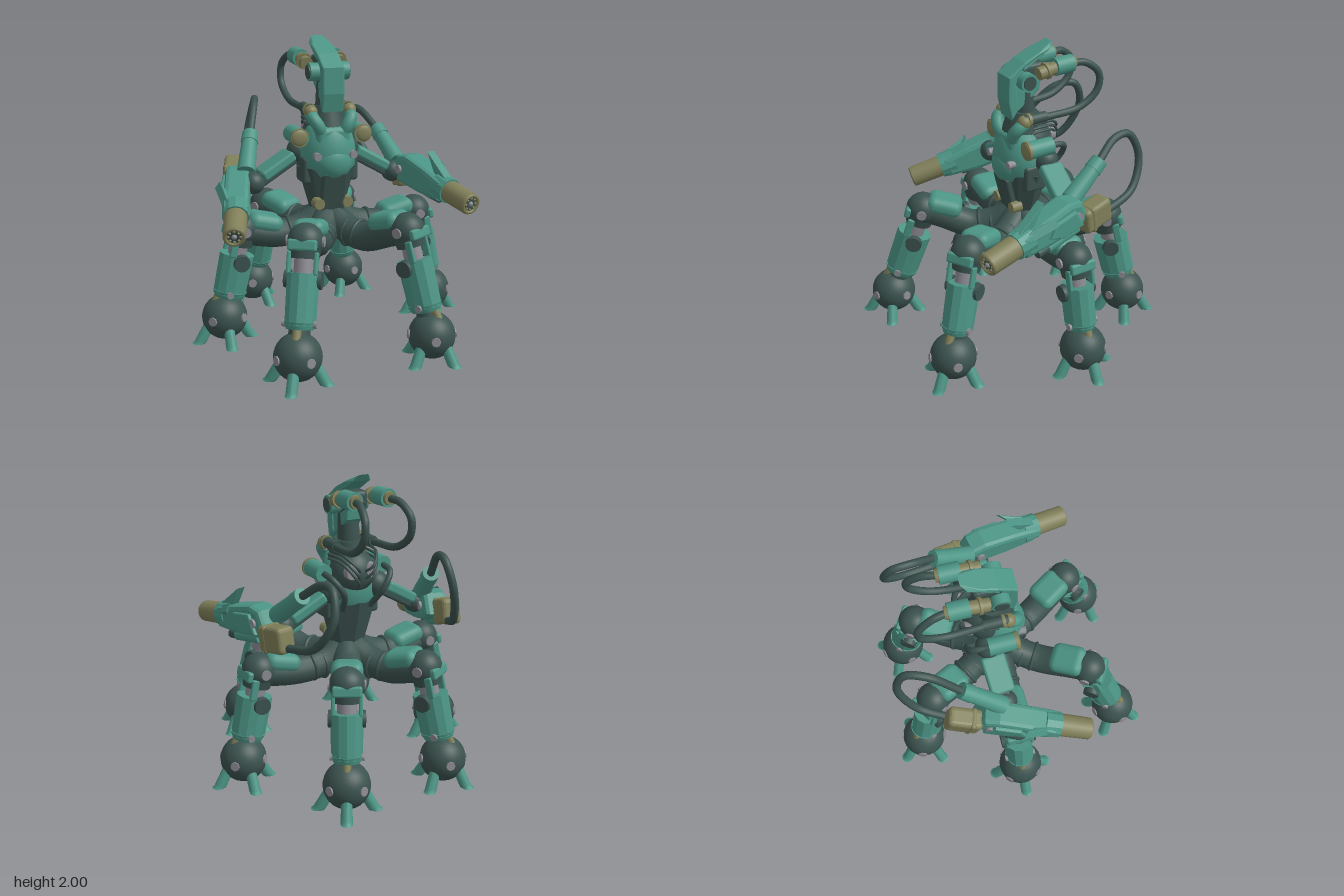
import * as THREE from 'three';
import { RoundedBoxGeometry } from 'three/addons/geometries/RoundedBoxGeometry.js';

const paint = (color, extra = {}) => new THREE.MeshStandardMaterial({ color, ...extra });
const TEAL = paint(0x4c9586), DARK = paint(0x3b524e), KHAKI = paint(0x807f59), GREY = paint(0x8c8a92);
const TEALFLAT = paint(0x4c9586, { flatShading: true }), DARKFLAT = paint(0x3b524e, { flatShading: true });
const KHAKIFLAT = paint(0x807f59, { flatShading: true });
const V = (a) => new THREE.Vector3(...a);

function add(parent, name, geo, mat, pos = [0, 0, 0]) {
  const m = new THREE.Mesh(geo, mat);
  m.name = name;
  m.position.set(...pos);
  parent.add(m);
  return m;
}
const ball = (p, name, pos, r, mat) => add(p, name, new THREE.SphereGeometry(r, 28, 20), mat, pos);
const box = (p, name, size, pos, mat, r = 0.015) =>
  add(p, name, new RoundedBoxGeometry(...size, 2, r), mat, pos);

// Cylinder or cone between two points
function rod(p, name, a, b, r1, r2, mat, seg = 24) {
  const A = V(a), B = V(b), d = B.clone().sub(A);
  const m = add(p, name, new THREE.CylinderGeometry(r2, r1, d.length(), seg), mat);
  m.position.copy(A).add(B).multiplyScalar(0.5);
  m.quaternion.setFromUnitVectors(new THREE.Vector3(0, 1, 0), d.normalize());
  return m;
}
const hose = (p, name, pts, r, mat = DARK) =>
  add(p, name, new THREE.TubeGeometry(new THREE.CatmullRomCurve3(pts.map(V)), 48, r, 14), mat);

// Side profile in (z, y), given a width along x
function plate(p, name, pts, width, mat, pos = [0, 0, 0], bevel = 0.012) {
  const shape = new THREE.Shape(pts.map((q) => new THREE.Vector2(...q)));
  const depth = width - 2 * bevel;
  const g = new THREE.ExtrudeGeometry(shape, {
    depth, bevelThickness: bevel, bevelSize: bevel, bevelOffset: -bevel, bevelSegments: 2,
  });
  g.translate(0, 0, -depth / 2).rotateY(-Math.PI / 2);
  return add(p, name, g, mat, pos);
}
function group(parent, name, pos = [0, 0, 0]) {
  const g = new THREE.Group();
  g.name = name;
  g.position.set(...pos);
  parent.add(g);
  return g;
}

// Splayed toe whose lower end is cut flat on the ground
function toe(p, angle) {
  const g = new THREE.CylinderGeometry(0.034, 0.038, 0.25, 16, 10);
  g.rotateX(-0.5).translate(0, 0.08, 0.132).rotateY(angle);
  const v = g.attributes.position;
  for (let i = 0; i < v.count; i++) v.setY(i, Math.max(v.getY(i), 0.003));
  g.computeVertexNormals();
  add(p, 'toe', g, TEAL);
}

// Leg in a frame where +z runs outward from the hub
function leg(root, name, angle, knee, kneeY, foot) {
  const g = group(root, name, [0, 0, -0.08]);
  g.rotation.y = angle;
  hose(g, 'thigh', [[0, 0.8, 0.06], [0, 0.74, 0.18], [0, 0.715, 0.33],
    [0, kneeY - 0.035, knee - 0.12], [0, kneeY, knee]], 0.097);
  for (const u of [0.2, 0.28]) {
    const ring = add(g, 'thighRing', new THREE.TorusGeometry(0.092, 0.014, 8, 28), DARK, [0, 0.725, u]);
    ring.rotation.x = 0.1;
  }
  const cover = box(g, 'thighCover', [0.205, 0.12, 0.24], [0, kneeY + 0.035, knee - 0.15], TEAL, 0.055);
  cover.rotation.x = -0.25;
  ball(g, 'knee', [0, kneeY, knee], 0.113, DARK);

  // Shin hangs down -y from the knee
  const shin = group(g, 'shin', [0, kneeY, knee]);
  const L = Math.hypot(foot - knee, kneeY - 0.17);
  shin.rotation.x = -Math.atan2(foot - knee, kneeY - 0.17);
  rod(shin, 'kneePin', [-0.12, 0, 0], [0.12, 0, 0], 0.033, 0.033, GREY, 12);
  rod(shin, 'upperStrut', [0, 0, 0], [0, -0.22, 0], 0.062, 0.062, GREY);
  rod(shin, 'kneeSleeve', [0, -0.05, 0], [0, -0.11, 0], 0.1, 0.09, DARK);
  box(shin, 'kneeShield', [0.185, 0.07, 0.04], [0, -0.03, 0.092], TEALFLAT, 0.015);
  const top = -0.28 * L, bottom = -0.73 * L;
  const armour = rod(shin, 'shinArmour', [0, bottom, 0], [0, top, 0], 0.098, 0.104, TEALFLAT, 12);
  const cuff = rod(shin, 'shinCuff', [0, bottom - 0.025, 0], [0, bottom + 0.02, 0], 0.085, 0.102, TEAL);
  armour.scale.z = cuff.scale.z = 1.14;
  for (const s of [-1, 1]) {
    rod(shin, 'shinDisc', [s * 0.08, top - 0.04, -0.015], [s * 0.118, top - 0.04, -0.015], 0.058, 0.054, DARK);
    box(shin, 'kneeBracket', [0.025, 0.14, 0.05], [s * 0.085, top + 0.06, 0.05], TEAL, 0.01);
    rod(shin, 'anklePin', [s * 0.07, bottom + 0.01, 0.02], [s * 0.108, bottom + 0.01, 0.02], 0.023, 0.023, GREY, 12);
  }
  rod(shin, 'ankle', [0, bottom + 0.02, 0], [0, -L, 0], 0.065, 0.075, DARK);
  rod(shin, 'anklePiston', [0, bottom + 0.03, 0.06], [0, -L + 0.08, 0.085], 0.028, 0.028, KHAKI, 16);

  // Ball foot with four toes
  const f = group(g, 'foot', [0, 0, foot]);
  ball(f, 'footBall', [0, 0.17, 0], 0.151, DARK);
  for (let i = 0; i < 4; i++) {
    const a = (i * Math.PI) / 2, b = a + Math.PI / 4;
    toe(f, a);
    rod(f, 'footStud', [Math.cos(b) * 0.13, 0.18, Math.sin(b) * 0.13],
      [Math.cos(b) * 0.156, 0.183, Math.sin(b) * 0.156], 0.034, 0.03, GREY, 8);
  }
}

// Arm with a gun; s is +1 for the left side, -1 for the right; fins are [roll, size]
function arm(root, s, rear, tip, boxDrop, fins, sleeve, loop) {
  const a = group(root, s > 0 ? 'leftArm' : 'rightArm');
  const A = [s * 0.17, 1.25, -0.16], B = [s * 0.5, 1.06, -0.13];
  ball(a, 'shoulderJoint', A, 0.085, DARK);
  ball(a, 'elbowJoint', B, 0.075, DARK);
  const upper = group(a, 'upperArm', A);
  upper.lookAt(V(B));
  box(upper, 'upperArmShell', [0.16, 0.07, 0.26], [0, 0.015, 0.19], TEAL, 0.02);
  box(upper, 'upperArmStrut', [0.08, 0.1, 0.3], [0, -0.005, 0.2], DARKFLAT);

  const g = group(a, 'gun', rear);
  g.lookAt(V(tip));
  box(g, 'ammoBox', [0.13, 0.17, 0.23], [s * 0.04, boxDrop, 0.08], KHAKIFLAT, 0.03);
  box(g, 'ammoBand', [0.14, 0.18, 0.04], [s * 0.04, boxDrop, 0.13], KHAKIFLAT, 0.02);
  plate(g, 'gunBody', [[0.14, -0.07], [0.19, 0.07], [0.28, 0.1], [0.5, 0.085], [0.68, 0.06],
    [0.68, -0.075], [0.48, -0.1], [0.24, -0.11]], 0.165, TEALFLAT, [0, 0, 0], 0.03);
  plate(g, 'sideArmour', [[0.22, -0.08], [0.27, 0.05], [0.44, 0.05], [0.5, -0.03], [0.4, -0.08]],
    0.04, TEALFLAT, [s * 0.085, 0, 0]);
  for (const [roll, size] of fins) {
    const fin = plate(g, 'backsweptFin', [[0.68, 0.05], [0.67, 0.085], [0.46, 0.19], [0.56, 0.07]],
      0.06, TEALFLAT, [0, 0, 0], 0.005);
    fin.rotation.z = roll;
    fin.scale.y = size;
  }
  rod(g, 'gunPivot', [-0.1, -0.01, 0.25], [0.1, -0.01, 0.25], 0.03, 0.03, GREY, 12);
  rod(g, 'collar', [0, 0, 0.6], [0, 0, 0.71], 0.092, 0.086, TEALFLAT, 12);
  rod(g, 'muzzle', [0, 0, 0.7], [0, 0, 0.92], 0.075, 0.072, KHAKI);
  add(g, 'muzzleRim', new THREE.TorusGeometry(0.058, 0.013, 8, 28), KHAKI, [0, 0, 0.92]);
  rod(g, 'muzzleBore', [0, 0, 0.9], [0, 0, 0.922], 0.055, 0.055, DARK);
  for (let i = 0; i < 8; i++) {
    const t = (i * Math.PI) / 4;
    ball(g, 'muzzleStud', [Math.cos(t) * 0.038, Math.sin(t) * 0.038, 0.922], 0.009, KHAKI);
  }
  ball(g, 'muzzleCore', [0, 0, 0.92], 0.018, GREY);
  rod(g, 'underBarrel', [s * 0.04, -0.11, 0.24], [s * 0.04, -0.115, 0.5], 0.04, 0.038, TEAL);
  rod(g, 'underBarrelTip', [s * 0.04, -0.115, 0.48], [s * 0.04, -0.115, 0.58], 0.034, 0.03, DARK);

  // Feed sleeve and hose loop
  const mid = sleeve[0].map((v, i) => v * 0.25 + sleeve[1][i] * 0.75);
  rod(a, 'feedSleeve', sleeve[0], sleeve[1], 0.062, 0.05, TEAL);
  rod(a, 'feedCollar', mid, sleeve[1], 0.058, 0.054, TEAL);
  hose(a, 'feedHose', [sleeve[1], ...loop], 0.026);
}

function torso(root) {
  const t = group(root, 'torso');
  ball(t, 'pelvis', [0, 0.79, -0.08], 0.13, DARK);
  const belly = add(t, 'belly', new THREE.CylinderGeometry(0.21, 0.1, 0.38, 8), DARKFLAT, [0, 0.97, -0.08]);
  belly.scale.z = 0.8;
  plate(t, 'bellyPlate', [[-0.05, 0.76], [0.01, 0.78], [0.09, 1.12], [-0.05, 1.12]], 0.17, DARKFLAT);
  const profile = [[0.05, 1.07], [0.14, 1.1], [0.185, 1.16], [0.19, 1.26], [0.175, 1.34],
    [0.145, 1.41], [0.11, 1.45], [0, 1.455]].map((q) => new THREE.Vector2(...q));
  const chest = add(t, 'chest', new THREE.LatheGeometry(profile, 36), TEAL, [0, 0, -0.07]);
  chest.scale.z = 0.94;
  const dome = ball(t, 'breastDome', [0, 1.2, -0.02], 0.15, TEAL);
  dome.scale.z = 0.95;
  box(t, 'upperChest', [0.24, 0.13, 0.18], [0, 1.37, -0.02], TEAL, 0.04);
  ball(t, 'backShell', [0, 1.35, -0.13], 0.155, DARK);
  for (const s of [-1, 1]) {
    rod(t, 'hipKnob', [s * 0.1, 0.92, -0.01], [s * 0.1, 0.92, 0.06], 0.04, 0.036, KHAKI, 16);
    rod(t, 'chestPin', [s * 0.12, 1.25, 0.04], [s * 0.125, 1.25, 0.1], 0.026, 0.026, GREY, 12);
    box(t, 'rib', [0.06, 0.18, 0.16], [s * 0.165, 1.14, -0.08], DARKFLAT, 0.02);
    rod(t, 'backVent', [s * 0.07, 1.38, -0.24], [s * 0.07, 1.38, -0.28], 0.05, 0.045, GREY);
    // Side canister with domed front cap
    rod(t, 'canister', [s * 0.22, 1.37, 0.02], [s * 0.22, 1.37, -0.17], 0.058, 0.058, TEAL);
    const cap = ball(t, 'canisterCap', [s * 0.225, 1.37, 0.015], 0.056, KHAKI);
    cap.scale.z = 0.35;
    rod(t, 'canisterRing', [s * 0.22, 1.37, 0.0], [s * 0.22, 1.37, 0.02], 0.062, 0.062, KHAKI);
    hose(t, 'canisterHose', [[s * 0.22, 1.37, -0.17], [s * 0.21, 1.35, -0.27], [s * 0.15, 1.26, -0.3],
      [s * 0.1, 1.12, -0.2]], 0.02);
    for (let i = 0; i < 3; i++)
      hose(t, 'backCable', [[s * 0.14, 1.5 - i * 0.03, -0.08], [s * 0.12, 1.49 - i * 0.03, -0.24],
        [s * 0.06, 1.42 - i * 0.04, -0.31], [0, 1.36 - i * 0.05, -0.25]], 0.009);
    // Collar elbow pipe
    hose(t, 'collarPipe', [[s * 0.135, 1.52, -0.03], [s * 0.13, 1.49, 0.02], [s * 0.1, 1.44, 0.04], [s * 0.07, 1.38, 0.02]], 0.042, TEAL);
    ball(t, 'collarCap', [s * 0.135, 1.53, -0.02], 0.046, KHAKI);
  }
}

function head(root) {
  const h = group(root, 'head');
  rod(h, 'neckBase', [0, 1.42, -0.08], [0, 1.56, -0.09], 0.13, 0.095, DARK);
  rod(h, 'neck', [0, 1.5, -0.1], [0, 1.78, -0.08], 0.075, 0.065, DARK);
  const crest = plate(h, 'crest', [[0.03, 1.53], [0.058, 1.65], [0.055, 1.82], [-0.06, 1.9], [-0.17, 1.95],
    [-0.28, 2.0], [-0.25, 1.955], [-0.07, 1.85], [0.0, 1.77], [-0.02, 1.6]], 0.15, TEALFLAT, [0, 0, 0], 0.01);
  // Crest narrows towards its swept-back tip
  const v = crest.geometry.attributes.position;
  for (let i = 0; i < v.count; i++) {
    const k = Math.max(0, (v.getY(i) - 1.93) / 0.07);
    v.setX(i, v.getX(i) * (1 - 0.55 * k * k));
  }
  plate(h, 'jaw', [[0.02, 1.55], [0.02, 1.78], [-0.06, 1.72], [-0.19, 1.78], [-0.18, 1.7], [-0.09, 1.63]],
    0.13, TEALFLAT);
  rod(h, 'headPivot', [-0.135, 1.785, -0.06], [0.135, 1.785, -0.06], 0.06, 0.06, TEAL);
  rod(h, 'headPivotCore', [-0.143, 1.785, -0.06], [0.143, 1.785, -0.06], 0.045, 0.045, DARK);
  box(h, 'skull', [0.15, 0.11, 0.2], [0, 1.83, -0.12], DARKFLAT, 0.03);
  for (const s of [-1, 1]) {
    const x = s * 0.12;
    rod(h, 'pumpNeck', [x, 1.83, -0.13], [x, 1.85, -0.26], 0.042, 0.042, KHAKI);
    rod(h, 'pumpRing', [x, 1.84, -0.18], [x, 1.844, -0.2], 0.055, 0.055, KHAKI);
    rod(h, 'pump', [x, 1.855, -0.25], [x, 1.86, -0.38], 0.058, 0.058, TEAL);
    rod(h, 'pumpEnd', [x, 1.86, -0.37], [x, 1.86, -0.4], 0.045, 0.04, KHAKI);
    hose(h, 'headHose', [[x, 1.86, -0.38], [s * 0.14, 1.85, -0.48], [s * 0.16, 1.77, -0.57],
      [s * 0.165, 1.66, -0.56], [s * 0.155, 1.56, -0.43], [s * 0.14, 1.535, -0.17]], 0.024);
    rod(h, 'hoseSocket', [s * 0.135, 1.54, -0.02], [s * 0.135, 1.54, -0.18], 0.038, 0.034, DARK);
    rod(h, 'socketRing', [s * 0.135, 1.54, -0.04], [s * 0.135, 1.54, -0.06], 0.044, 0.044, KHAKI);
  }
}

export function createModel() {
  const root = new THREE.Group();
  root.name = 'sixLeggedWalker';
  torso(root);
  head(root);
  leg(root, 'frontLeftLeg', 0.51, 0.67, 0.83, 0.88);
  leg(root, 'frontRightLeg', -0.55, 0.67, 0.83, 0.91);
  leg(root, 'middleLeftLeg', Math.PI / 2, 0.65, 0.77, 0.78);
  leg(root, 'middleRightLeg', -Math.PI / 2, 0.6, 0.77, 0.735);
  leg(root, 'backLeftLeg', Math.PI - 0.52, 0.58, 0.78, 0.73);
  leg(root, 'backRightLeg', Math.PI + 0.52, 0.58, 0.78, 0.73);
  arm(root, 1, [0.55, 1.14, -0.3], [0.73, 0.98, 0.6], -0.1, [[0, 1], [-0.95, 0.8]],
    [[0.53, 1.13, -0.12], [0.48, 1.32, -0.37]],
    [[0.43, 1.42, -0.52], [0.42, 1.42, -0.64], [0.45, 1.26, -0.71], [0.52, 1.07, -0.61], [0.58, 0.99, -0.34]]);
  arm(root, -1, [-0.5, 1.14, -0.47], [-0.77, 0.86, 0.38], -0.05, [[0.95, 0.8]],
    [[-0.54, 1.13, -0.16], [-0.44, 1.34, -0.4]],
    [[-0.36, 1.51, -0.58], [-0.32, 1.52, -0.71], [-0.34, 1.36, -0.78], [-0.42, 1.12, -0.69], [-0.51, 1.03, -0.5]]);
  return root;
}
